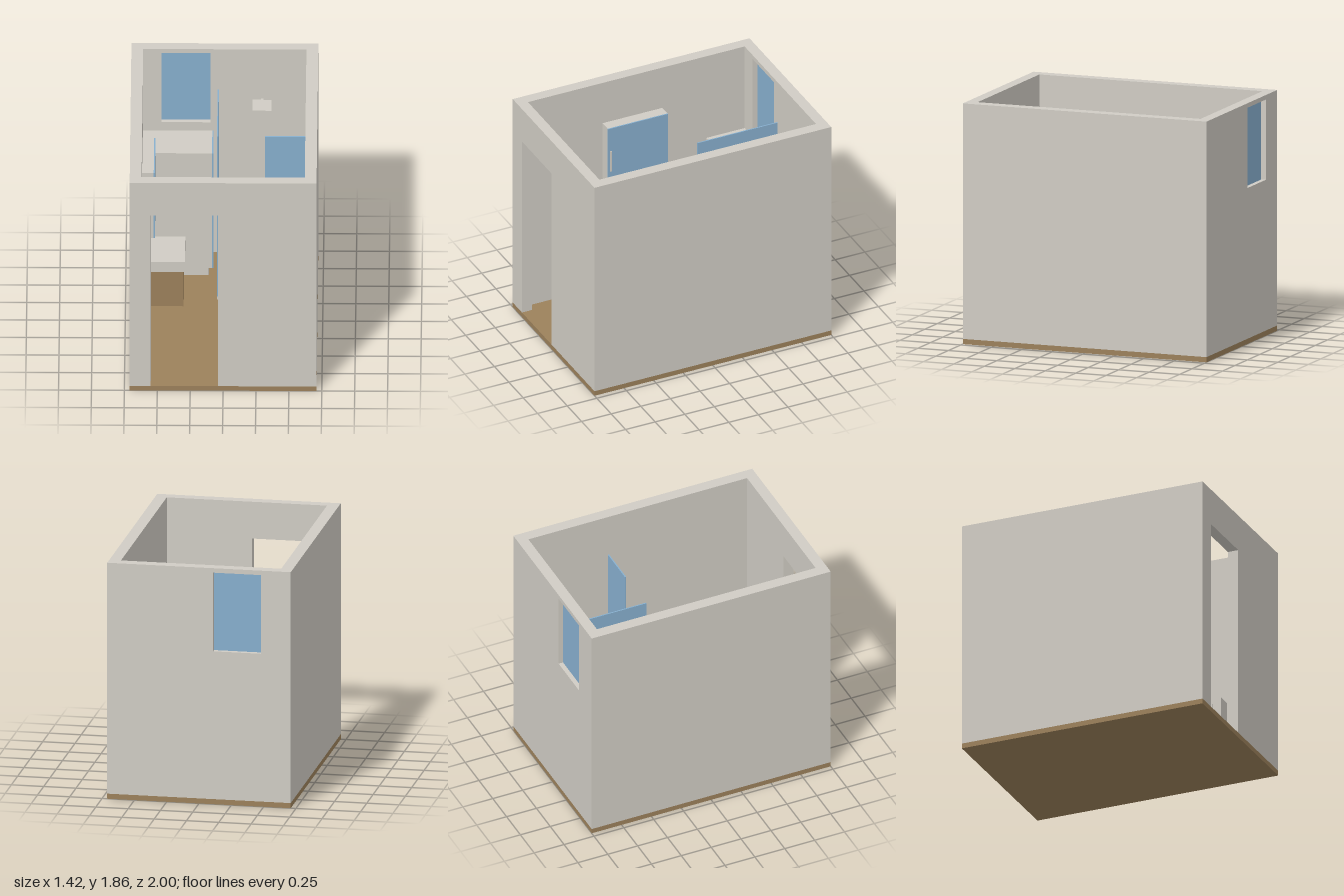
import * as THREE from 'three';

export function createModel() {
  const room = new THREE.Group();
  room.name = 'bathroom';

  const material = (name, color) => {
    const m = new THREE.MeshStandardMaterial({ color });
    m.name = name;
    return m;
  };
  const plaster = material('plaster', 0xd0ccc4);
  const wood = material('wood', 0x9c815b);
  const glass = material('glass', 0x87afce);

  // Box given by its minimum and maximum on each axis
  const box = (parent, name, mat, [x0, x1], [y0, y1], [z0, z1]) => {
    const mesh = new THREE.Mesh(new THREE.BoxGeometry(x1 - x0, y1 - y0, z1 - z0), mat);
    mesh.position.set((x0 + x1) / 2, (y0 + y1) / 2, (z0 + z1) / 2);
    mesh.name = name;
    parent.add(mesh);
    return mesh;
  };
  const group = (name) => {
    const g = new THREE.Group();
    g.name = name;
    room.add(g);
    return g;
  };
  // End wall with a rectangular opening
  const endWall = (name, [x0, x1], [y0, y1], z0, z1) => {
    const shape = new THREE.Shape();
    const corners = [[-0.71, 0.04], [0.71, 0.04], [0.71, 1.86], [-0.71, 1.86]];
    if (y0 <= 0.04) {
      // Doorway cuts through the lower edge
      corners.splice(1, 0, [x0, 0.04], [x0, y1], [x1, y1], [x1, 0.04]);
    } else {
      const hole = new THREE.Path();
      hole.setFromPoints([[x0, y0], [x0, y1], [x1, y1], [x1, y0]].map((p) => new THREE.Vector2(...p)));
      shape.holes.push(hole);
    }
    shape.setFromPoints(corners.map((p) => new THREE.Vector2(...p)));
    const mesh = new THREE.Mesh(
      new THREE.ExtrudeGeometry(shape, { depth: z1 - z0, bevelEnabled: false }), plaster);
    mesh.position.z = z0;
    mesh.name = name;
    room.add(mesh);
  };

  // Shell
  box(room, 'floor', wood, [-0.71, 0.71], [0, 0.04], [-1, 1]);
  endWall('frontWall', [-0.55, -0.04], [0.04, 1.57], 0.915, 1);
  endWall('backWall', [-0.48, -0.11], [1.205, 1.825], -1, -0.915);
  for (const [name, a, b] of [['rightWall', -0.71, -0.62], ['leftWall', 0.62, 0.71]])
    box(room, name, plaster, [a, b], [0.04, 1.86], [-0.915, 0.915]);
  box(room, 'windowPane', glass, [-0.48, -0.11], [1.205, 1.825], [-0.963, -0.954]);

  // Shower corner
  const shower = group('shower');
  box(shower, 'showerTray', plaster, [-0.055, 0.62], [0.04, 0.065], [-0.915, -0.24]);
  box(shower, 'showerSideScreen', glass, [-0.055, -0.045], [0.065, 1.5], [-0.915, -0.24]);
  box(shower, 'showerFrontScreen', glass, [0.31, 0.62], [0.065, 1.5], [-0.25, -0.24]);
  box(shower, 'showerPipe', plaster, [0.275, 0.293], [0.75, 1.42], [-0.915, -0.897]);
  box(shower, 'showerHead', plaster, [0.21, 0.355], [1.4, 1.42], [-0.897, -0.74]);

  // Tall cupboard in the corner, opening towards the shower
  const cupboard = group('cupboard');
  box(cupboard, 'cupboardPlinth', plaster, [-0.62, -0.12], [0.04, 0.1], [-0.915, -0.59]);
  box(cupboard, 'cupboardBody', plaster, [-0.62, -0.095], [0.1, 1.13], [-0.915, -0.59]);
  box(cupboard, 'cupboardDoor', glass, [-0.095, -0.085], [0.1, 1.13], [-0.915, -0.59]);
  box(cupboard, 'cupboardHandle', plaster, [-0.085, -0.079], [0.59, 0.8], [-0.63, -0.615]);

  // Mirror cabinet on the side wall
  const mirror = group('mirrorCabinet');
  box(mirror, 'mirrorCabinetBody', plaster, [-0.62, -0.532], [0.92, 1.5], [-0.22, 0.285]);
  box(mirror, 'mirrorDoor', glass, [-0.532, -0.522], [0.92, 1.5], [-0.22, 0.285]);
  box(mirror, 'mirrorHandle', plaster, [-0.522, -0.514], [1.12, 1.3], [0.255, 0.268]);

  // Washbasin on a hanging vanity
  const basin = group('washbasin');
  box(basin, 'vanity', wood, [-0.62, -0.305], [0.26, 0.57], [-0.145, 0.21]);
  box(basin, 'vanityHandle', plaster, [-0.305, -0.298], [0.525, 0.565], [-0.05, 0.12]);
  box(basin, 'basin', plaster, [-0.62, -0.295], [0.57, 0.66], [-0.15, 0.215]);

  // Toilet against the opposite wall
  const toilet = group('toilet');
  box(toilet, 'toiletBowl', plaster, [0.115, 0.51], [0.04, 0.32], [0.345, 0.6]);
  box(toilet, 'toiletSeat', plaster, [0.105, 0.51], [0.32, 0.345], [0.335, 0.605]);
  box(toilet, 'toiletLid', plaster, [0.115, 0.505], [0.345, 0.355], [0.345, 0.6]);
  box(toilet, 'toiletTank', plaster, [0.51, 0.62], [0.04, 0.64], [0.325, 0.615]);
  box(toilet, 'flushPlate', plaster, [0.503, 0.51], [0.52, 0.6], [0.4, 0.545]);

  return room;
}
